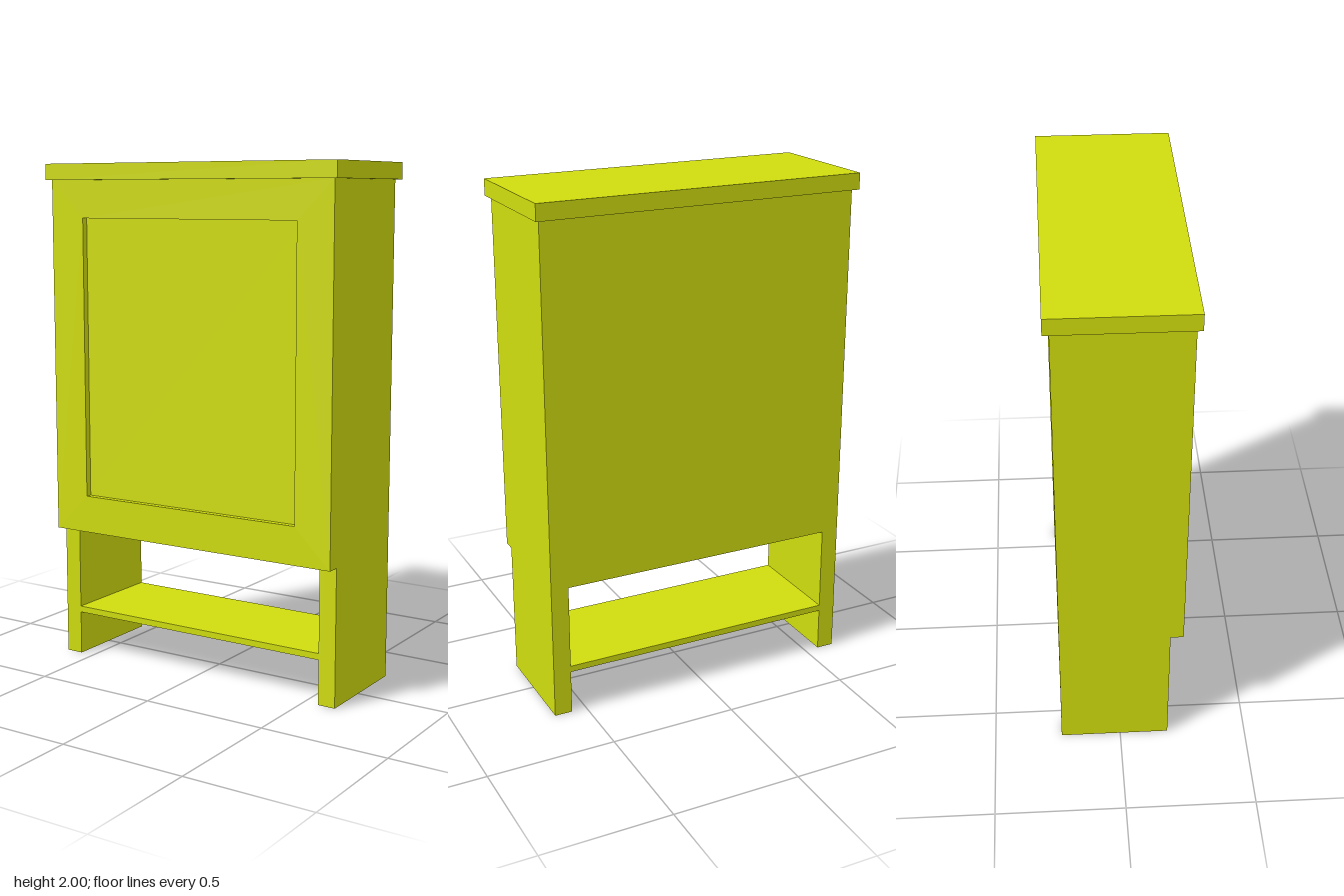
import * as THREE from 'three';

export function createModel() {
  const group = new THREE.Group();
  group.name = 'cabinet';
  const material = new THREE.MeshStandardMaterial({ color: 0xd0dd0e });

  const add = (name, geometry) => {
    const mesh = new THREE.Mesh(geometry, material);
    mesh.name = name;
    group.add(mesh);
    return mesh;
  };

  // Box given by its min and max along each axis
  const box = (name, [x0, x1], [y0, y1], [z0, z1]) =>
    add(name, new THREE.BoxGeometry(x1 - x0, y1 - y0, z1 - z0))
      .position.set((x0 + x1) / 2, (y0 + y1) / 2, (z0 + z1) / 2);

  const W = 0.63, inner = 0.56, back = -0.235, front = 0.19, doorFront = 0.24;
  const doorBottom = 0.535, topBottom = 1.937, recess = 0.025;

  // Top board overhanging on all sides
  box('top', [-0.648, 0.648], [topBottom, 2], [-0.258, 0.258]);

  // Side panels running down to the floor
  box('leftSide', [inner, W], [0, topBottom], [back, front]);
  box('rightSide', [-W, -inner], [0, topBottom], [back, front]);

  // Closed cupboard body and the open shelf below it
  box('body', [-inner, inner], [doorBottom, topBottom], [back, front]);
  box('shelf', [-inner, inner], [0.175, 0.2], [back, front]);

  // Door: backing panel plus a frame around the recess
  box('doorPanel', [-W, W], [doorBottom, topBottom], [front, doorFront - recess]);
  const rect = (path, x, y0, y1) =>
    path.moveTo(-x, y0).lineTo(x, y0).lineTo(x, y1).lineTo(-x, y1).closePath();
  const outline = new THREE.Shape();
  rect(outline, W, doorBottom, topBottom);
  const opening = new THREE.Path();
  rect(opening, 0.48, 0.683, 1.79);
  outline.holes.push(opening);
  add('doorFrame', new THREE.ExtrudeGeometry(outline, { depth: recess, bevelEnabled: false }))
    .position.z = doorFront - recess;

  return group;
}
